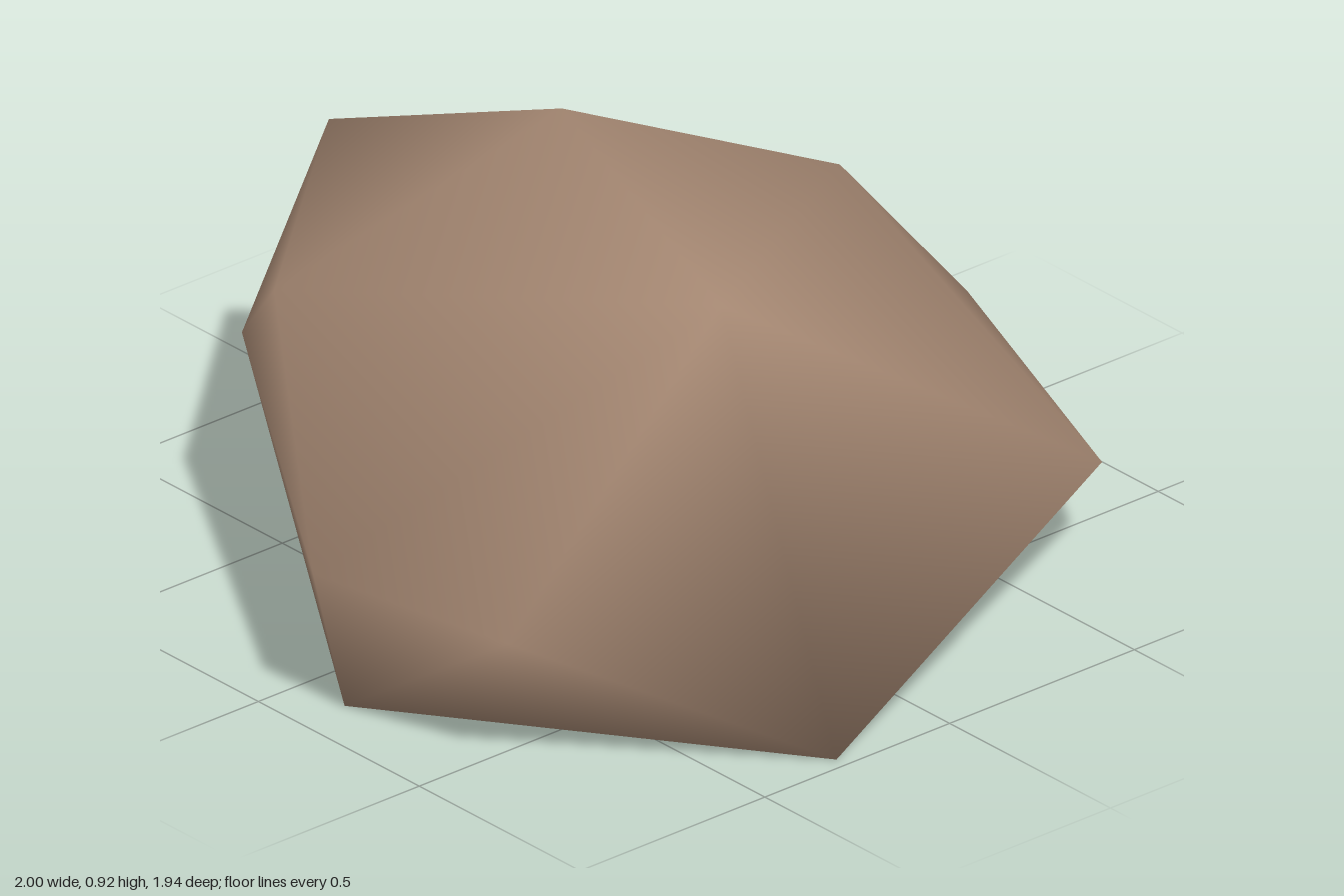
import * as THREE from 'three';
import { ConvexGeometry } from 'three/addons/geometries/ConvexGeometry.js';
import { mergeVertices } from 'three/addons/utils/BufferGeometryUtils.js';

export function createModel() {
  const group = new THREE.Group();
  group.name = 'rock';

  const stone = new THREE.MeshStandardMaterial({ color: 0xa28570 });
  stone.name = 'brown stone';

  // Corners of the boulder, from the ground up
  const corners = [
    // flat base
    [-0.28, 0, 0.97], [1, 0, 0.11], [-0.2, 0, -0.87], [-0.88, 0, 0.13],
    // widest ring
    [0.7, 0.235, 0.67], [0.63, 0.26, -0.53], [-0.2, 0.2, -0.97],
    [-1, 0.36, 0.17], [-0.9, 0.355, 0.66], [0.84, 0.355, 0.09],
    // shoulders
    [0.6, 0.68, -0.03], [-0.13, 0.74, -0.78], [-0.6, 0.65, -0.41],
    // top ridge
    [-0.27, 0.895, 0.6], [0.03, 0.92, -0.24],
  ].map((c) => new THREE.Vector3(...c));

  // Convex hull with shared corners, so the shading is smooth
  const hull = new ConvexGeometry(corners);
  hull.deleteAttribute('normal');
  const geometry = mergeVertices(hull, 1e-4);
  geometry.computeVertexNormals();

  const boulder = new THREE.Mesh(geometry, stone);
  boulder.name = 'boulder';
  group.add(boulder);
  return group;
}
